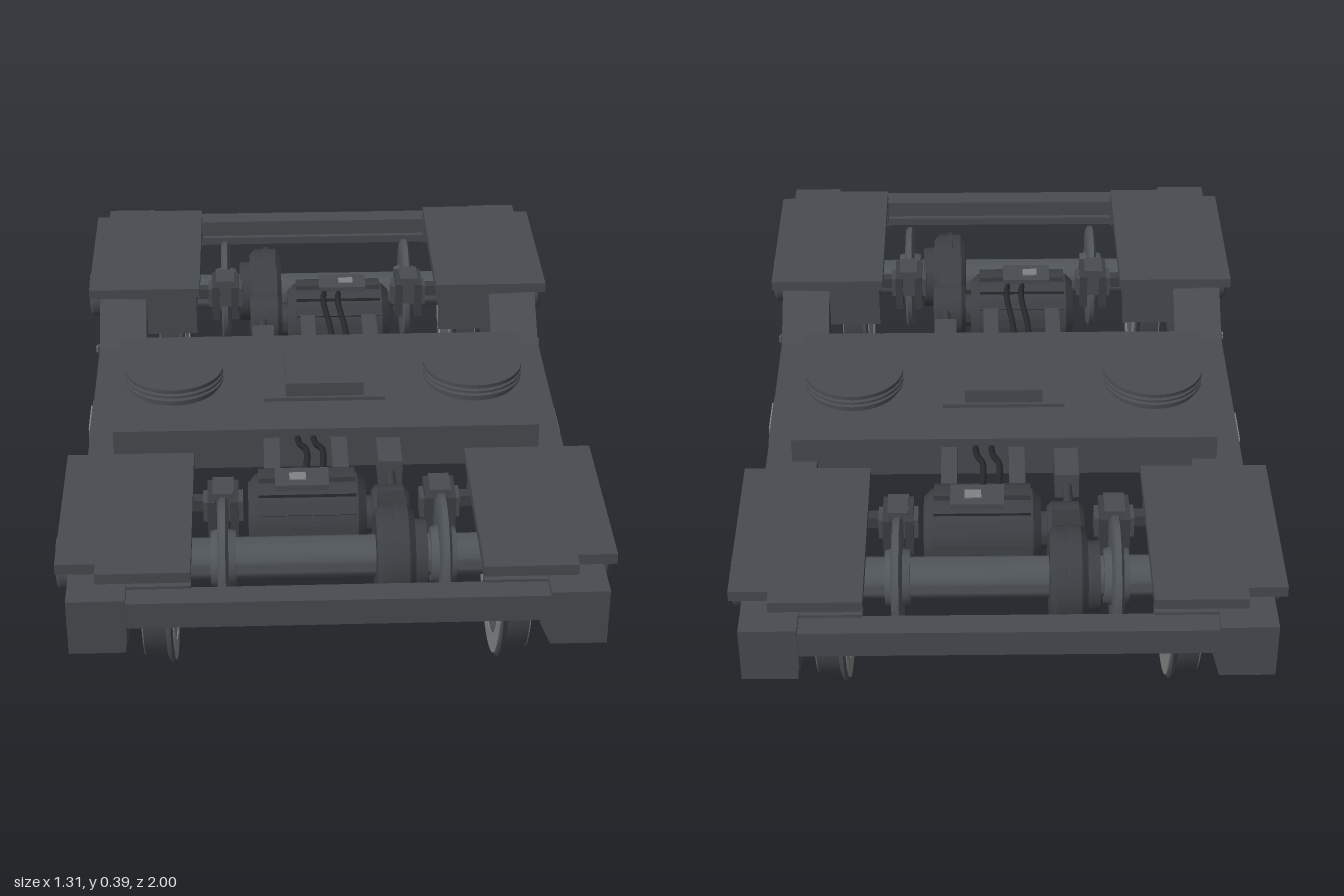
import * as THREE from 'three';
import { toCreasedNormals } from 'three/addons/utils/BufferGeometryUtils.js';

const mat = (name, color) => {
  const m = new THREE.MeshStandardMaterial({ color });
  m.name = name;
  return m;
};

export function createModel() {
  const frameGrey = mat('frame grey', 0x484b50);
  const darkGrey = mat('dark grey', 0x3c3f43);
  const steel = mat('steel', 0x7e8282);
  const axleGrey = mat('axle grey', 0x50555a);
  const rubber = mat('rubber', 0x26282a);

  const add = (parent, name, geo, m, x = 0, y = 0, z = 0) => {
    const mesh = new THREE.Mesh(geo, m);
    mesh.name = name;
    mesh.position.set(x, y, z);
    parent.add(mesh);
    return mesh;
  };
  // Box given by its limits on each axis
  const box = (parent, name, m, x0, x1, y0, y1, z0, z1) =>
    add(parent, name, new THREE.BoxGeometry(Math.abs(x1 - x0), y1 - y0, z1 - z0), m,
      (x0 + x1) / 2, (y0 + y1) / 2, (z0 + z1) / 2);
  // Turned part; profile is [radius, height]
  const lathe = (pts, seg = 32) => toCreasedNormals(
    new THREE.LatheGeometry(pts.map(p => new THREE.Vector2(...p)), seg), 0.6);
  const turnedX = (pts, seg) => lathe(pts, seg).rotateZ(-Math.PI / 2);
  const disc = (r, x0, x1, bevel = 0) => turnedX([[0, x0], [r - bevel, x0], [r, x0 + bevel],
    [r, x1 - bevel], [r - bevel, x1], [0, x1]]);
  // Side profile of [z, y] points extruded from x0 to x1
  const sideExtrude = (pts, x0, x1) => {
    const shape = new THREE.Shape(pts.map(p => new THREE.Vector2(...p)));
    return new THREE.ExtrudeGeometry(shape, { depth: x1 - x0, bevelEnabled: false })
      .rotateY(-Math.PI / 2).translate(x1, 0, 0);
  };
  const tube = (pts, r) => new THREE.TubeGeometry(
    new THREE.CatmullRomCurve3(pts.map(p => new THREE.Vector3(...p))), 20, r, 8);

  const AY = 0.245, AZ = 0.68; // axle height and distance from the centre

  // Cut the hidden top of a wheel flat so it stays below the cover
  const cutTop = geo => {
    const p = geo.attributes.position;
    for (let i = 0; i < p.count; i++) p.setY(i, Math.min(p.getY(i), 0.105));
    return geo;
  };

  function wheel(side) {
    const g = new THREE.Group();
    g.name = 'wheel';
    add(g, 'wheelBody', cutTop(turnedX([[0, 0.365], [0.07, 0.365], [0.075, 0.39], [0.18, 0.395],
      [0.19, 0.376], [0.238, 0.376], [0.245, 0.381], [0.24, 0.388], [0.228, 0.393], [0.224, 0.445],
      [0.19, 0.445], [0.18, 0.425], [0.08, 0.42], [0.075, 0.46], [0, 0.46]], 48)), frameGrey);
    for (const [name, x, ro] of [['outerRim', 0.446, 0.223], ['innerRim', 0.375, 0.236]])
      add(g, name, cutTop(turnedX([[0.19, x - 0.002], [ro, x - 0.002], [ro, x + 0.002],
        [0.19, x + 0.002], [0.19, x - 0.002]], 48)), steel);
    g.rotation.y = side > 0 ? 0 : Math.PI;
    return g;
  }

  function wheelset() {
    const g = new THREE.Group();
    g.name = 'wheelset';
    add(g, 'axle', disc(0.05, -0.38, 0.38), axleGrey);
    for (const s of [1, -1]) {
      g.add(wheel(s));
      add(g, 'brakeDisc', turnedX([[0, -0.03], [0.065, -0.03], [0.07, -0.012], [0.135, -0.012], [0.145, -0.006],
        [0.145, 0.006], [0.135, 0.012], [0.07, 0.012], [0.065, 0.03], [0, 0.03]]), axleGrey, s * 0.26);
      add(g, 'axleJournal', disc(0.035, -0.1, 0.1), darkGrey, s * 0.53);
      add(g, 'axleBoxCap', disc(0.066, -0.025, 0.025, 0.008), frameGrey, s * 0.628);
      add(g, 'axleBoxLid', disc(0.04, -0.008, 0.008, 0.003), frameGrey, s * 0.646);
    }
    g.position.set(0, AY, AZ);
    return g;
  }

  function motor() {
    const g = new THREE.Group();
    g.name = 'motor';
    add(g, 'motorCasing', disc(0.102, -0.2, 0.085, 0.02), darkGrey, 0, AY, 0.5);
    for (let i = 0; i < 14; i++) { // cooling ribs
      const a = i / 14 * Math.PI * 2;
      const rib = box(g, 'motorRib', darkGrey, -0.175, 0.06, 0, 0.02, -0.012, 0.012);
      rib.position.set(-0.0575, AY + Math.cos(a) * 0.104, 0.5 + Math.sin(a) * 0.104);
      rib.rotation.x = a;
    }
    box(g, 'terminalBox', frameGrey, -0.135, -0.005, 0.33, 0.362, 0.47, 0.55);
    box(g, 'ratingPlate', steel, -0.1, -0.06, 0.36, 0.365, 0.495, 0.525);
    add(g, 'coupling', disc(0.045, 0.08, 0.11), darkGrey, 0, AY, 0.5);
    // Gear case joining motor shaft and axle
    add(g, 'gearCaseSmall', disc(0.075, 0.1, 0.19, 0.012), darkGrey, 0, AY, 0.51);
    add(g, 'gearCaseLarge', disc(0.122, 0.1, 0.19, 0.015), darkGrey, 0, AY, AZ);
    add(g, 'gearCaseFlange', disc(0.128, 0.138, 0.152), darkGrey, 0, AY, AZ);
    add(g, 'gearCaseWeb', sideExtrude([[0.5, 0.175], [0.66, 0.13], [0.66, 0.36], [0.5, 0.315]], 0.112, 0.178), darkGrey);
    add(g, 'gearCaseCollar', disc(0.085, 0.19, 0.22), darkGrey, 0, AY, AZ);
    // Reaction rod and motor mounts
    add(g, 'reactionRod', tube([[0.155, 0.27, 0.24], [0.155, 0.27, 0.46]], 0.012), darkGrey);
    box(g, 'reactionBracket', frameGrey, 0.125, 0.185, 0.235, 0.305, 0.24, 0.36);
    for (const x of [-0.14, 0.03])
      box(g, 'motorMount', frameGrey, x - 0.02, x + 0.02, 0.27, 0.31, 0.2, 0.44);
    for (const x of [-0.075, -0.035])
      add(g, 'motorHose', tube([[x, 0.3, 0.22], [x + 0.005, 0.325, 0.3], [x + 0.02, 0.355, 0.38],
        [x + 0.02, 0.355, 0.43], [x + 0.015, 0.34, 0.48]], 0.008), rubber);
    return g;
  }

  // Cover, suspension and brake at one corner
  function corner(s) {
    const g = new THREE.Group();
    g.name = 'corner';
    const b = (name, m, x0, x1, ...r) => box(g, name, m, s * x0, s * x1, ...r);
    b('cover', frameGrey, 0.33, 0.637, 0.358, 0.385, 0.43, 0.895);
    b('coverFront', frameGrey, 0.33, 0.545, 0.358, 0.385, 0.895, 0.935);
    b('wheelGuard', frameGrey, 0.34, 0.54, 0.3, 0.36, 0.44, 0.92);
    b('wheelGuardEnd', frameGrey, 0.34, 0.54, 0.245, 0.36, 0.43, 0.452);
    b('endBlock', frameGrey, 0.475, 0.607, 0.24, 0.357, 0.9, 1.0);
    b('beamBracket', frameGrey, 0.33, 0.49, 0.28, 0.352, 0.91, 0.94);
    b('axleBox', frameGrey, 0.5, 0.615, 0.19, 0.3, 0.61, 0.75);
    b('axleBoxWing', frameGrey, 0.53, 0.618, 0.28, 0.305, 0.54, 0.83);
    for (const z of [0.575, 0.79]) { // spring coils
      for (let i = 0; i < 3; i++)
        add(g, 'springCoil', new THREE.TorusGeometry(0.03, 0.008, 8, 18).rotateX(Math.PI / 2),
          darkGrey, s * 0.58, 0.313 + i * 0.018, z);
    }
    b('sideLug', frameGrey, 0.6, 0.622, 0.195, 0.215, 0.41, 0.43);
    b('lugPlate', steel, 0.622, 0.625, 0.198, 0.212, 0.414, 0.426);
    // Brake caliper straddling the disc
    for (const o of [-0.027, 0.027])
      b('caliperArm', darkGrey, 0.26 + o - 0.01, 0.26 + o + 0.01, 0.25, 0.35, 0.5, 0.6);
    b('caliperBody', frameGrey, 0.212, 0.308, 0.28, 0.335, 0.52, 0.575);
    b('caliperTop', frameGrey, 0.235, 0.285, 0.335, 0.365, 0.51, 0.585);
    b('caliperHanger', darkGrey, 0.29, 0.36, 0.3, 0.33, 0.53, 0.56);
    return g;
  }

  function endUnit() {
    const g = new THREE.Group();
    g.name = 'endUnit';
    g.add(wheelset(), motor(), corner(1), corner(-1));
    box(g, 'endBeam', frameGrey, -0.48, 0.48, 0.278, 0.345, 0.935, 0.995);
    box(g, 'endBeamLip', frameGrey, -0.48, 0.48, 0.278, 0.3, 0.92, 0.935);
    return g;
  }

  const root = new THREE.Group();
  root.name = 'railBogie';
  const rear = endUnit();
  rear.rotation.y = Math.PI;
  root.add(endUnit(), rear);

  // Side frames, dipped in the middle and stepped under the springs
  const half = [[1, 0.215], [1, 0.355], [0.865, 0.355], [0.83, 0.285], [0.53, 0.285],
    [0.5, 0.355], [0.43, 0.355], [0.31, 0.262]];
  const low = [[0.84, 0.155]];
  const flip = pts => pts.map(([z, y]) => [-z, y]).reverse();
  const profile = [...low, ...half, ...flip(half), ...flip(low)];
  for (const s of [1, -1]) {
    const x0 = s > 0 ? 0.478 : -0.607;
    add(root, 'sideFrame', sideExtrude(profile, x0, x0 + 0.129), frameGrey);
    box(root, 'sideStrip', frameGrey, s * 0.605, s * 0.615, 0.185, 0.225, -0.1, 0.1);
    box(root, 'sidePlate', steel, s * 0.614, s * 0.62, 0.193, 0.216, s > 0 ? -0.03 : -0.09, s > 0 ? 0.09 : 0.03);
    // Air spring with stacked rings
    add(root, 'airSpring', lathe([[0, 0], [0.12, 0], [0.12, 0.008], [0.128, 0.012], [0.128, 0.018], [0.118, 0.022],
      [0.128, 0.026], [0.128, 0.032], [0.118, 0.036], [0.128, 0.04], [0.128, 0.05], [0, 0.05]], 40),
      frameGrey, s * 0.39, 0.335, 0);
  }

  // Cross bolster with centre pad
  box(root, 'bolster', frameGrey, -0.54, 0.54, 0.268, 0.335, -0.245, 0.245);
  box(root, 'bolsterUnderside', frameGrey, -0.48, 0.48, 0.21, 0.268, -0.225, 0.225);
  box(root, 'centrePlate', frameGrey, -0.157, 0.157, 0.335, 0.345, -0.108, 0.108);
  box(root, 'centrePad', frameGrey, -0.1, 0.1, 0.345, 0.383, -0.1, 0.1);
  return root;
}
